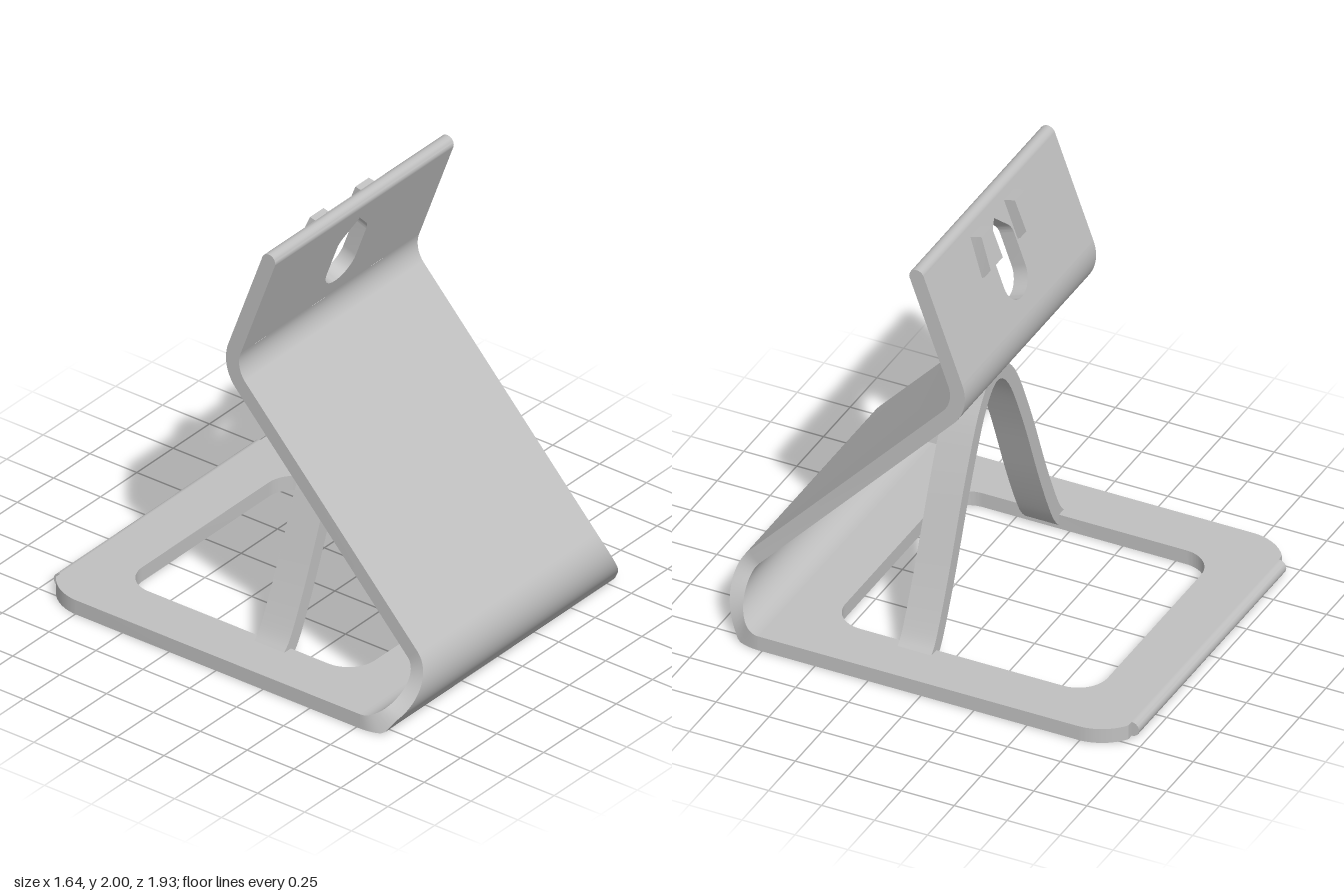
import * as THREE from 'three';
import { toCreasedNormals } from 'three/addons/utils/BufferGeometryUtils.js';

const T = 0.07, H = T / 2;                 // sheet thickness
const HALF = 0.615, BASE = 0.82;           // half widths of back rest and base
const RAD = Math.PI / 180;
const LEAN = Math.asin(0.345);             // forward lean of the upper panel

export function createModel() {
  const model = new THREE.Group();
  const grey = new THREE.MeshStandardMaterial({ color: 0xc0c0c0 });
  grey.name = 'light grey';

  const add = (name, geo, parent = model) => {
    const mesh = new THREE.Mesh(toCreasedNormals(geo, 0.5), grey);
    mesh.name = name;
    parent.add(mesh);
    return mesh;
  };
  const extrude = (shape, depth) =>
    new THREE.ExtrudeGeometry(shape, { depth, bevelEnabled: false, curveSegments: 16 });
  // half-round lip along x
  const lip = (halfWidth) =>
    new THREE.CylinderGeometry(H, H, halfWidth * 2, 20).rotateZ(Math.PI / 2);

  // Base plate, drawn in plan (shape y = -z), with rounded window
  const plan = new THREE.Shape();
  const cut = Math.asin(0.19 / 0.23);      // corner arcs stop at the rear lip
  plan.moveTo(-BASE, -0.77);
  plan.lineTo(BASE, -0.77);
  plan.lineTo(BASE, 0.74);
  plan.absarc(0.59, 0.74, 0.23, 0, cut, false);
  plan.absarc(-0.59, 0.74, 0.23, Math.PI - cut, Math.PI, false);
  plan.lineTo(-BASE, -0.77);
  const win = new THREE.Path();
  const wx = 0.575, r = 0.14, back = 0.69, front = -0.55;
  win.absarc(wx - r, back - r, r, 0, Math.PI / 2, false);
  win.absarc(-wx + r, back - r, r, Math.PI / 2, Math.PI, false);
  win.absarc(-wx + r, front + r, r, Math.PI, Math.PI * 1.5, false);
  win.absarc(wx - r, front + r, r, Math.PI * 1.5, Math.PI * 2, false);
  win.closePath();
  plan.holes.push(win);
  add('basePlate', extrude(plan, T).rotateX(-Math.PI / 2));
  add('baseRearLip', lip(0.69)).position.set(0, H, -0.93);

  // Back rest: front bend (flaring into the base), slope and upper bend
  const stations = [];                     // [front z, y], [rear z, y], half width
  for (let i = 0; i <= 24; i++) {
    const t = 133.1 * i / 24, a = (t - 90) * RAD;
    const c = Math.cos(a), s = Math.sin(a);
    const z = 0.77 + 0.2 * c;
    const y = t < 50 ? Math.max(0, (z - 0.873) * 1.44) : 0.2 + 0.2 * s;
    const w = HALF + (BASE - HALF) * (1 + Math.cos(Math.PI * i / 24)) / 2;
    stations.push([[z, y], [0.77 + 0.13 * c, 0.2 + 0.13 * s], w]);
  }
  for (let i = 0; i <= 14; i++) {
    const a = THREE.MathUtils.lerp(223.1, 159.8, i / 14) * RAD;
    const at = (rad) => [0.095 + rad * Math.cos(a), 1.41 + rad * Math.sin(a)];
    stations.push([at(0.13), at(0.2), HALF]);
  }
  const pos = [], idx = [];
  stations.forEach(([o, n, w], i) => {
    pos.push(-w, o[1], o[0], w, o[1], o[0], w, n[1], n[0], -w, n[1], n[0]);
    if (!i) return;
    for (let k = 0; k < 4; k++) {
      const a = (i - 1) * 4 + k, b = (i - 1) * 4 + (k + 1) % 4;
      idx.push(a, b, b + 4, a, b + 4, a + 4);
    }
  });
  const sheet = new THREE.BufferGeometry();
  sheet.setAttribute('position', new THREE.Float32BufferAttribute(pos, 3));
  sheet.setIndex(idx);
  add('backRest', sheet);

  // Upper panel with keyhole and rounded top edge
  const upper = new THREE.Group();
  upper.name = 'upperPanelGroup';
  upper.position.set(0, 1.467, -0.06);
  upper.rotation.x = LEAN;
  model.add(upper);
  const top = 0.53;
  const panel = new THREE.Shape();
  panel.moveTo(-HALF, 0);
  panel.lineTo(HALF, 0);
  panel.lineTo(HALF, top);
  panel.lineTo(-HALF, top);
  panel.closePath();
  const keyhole = new THREE.Path();
  keyhole.absarc(0, 0.18, 0.1, Math.PI, Math.PI * 2, false);
  keyhole.lineTo(0.1, 0.335);
  keyhole.quadraticCurveTo(0.1, 0.365, 0.075, 0.39);
  keyhole.lineTo(0, 0.463);
  keyhole.lineTo(-0.075, 0.39);
  keyhole.quadraticCurveTo(-0.1, 0.365, -0.1, 0.335);
  keyhole.closePath();
  panel.holes.push(keyhole);
  add('upperPanel', extrude(panel, T).translate(0, 0, -H), upper);
  add('topLip', lip(HALF), upper).position.y = top;

  // Two wedge pegs on the rear of the panel, outer sides tapering upwards
  const profile = [[0.08, 1.937], [0.024, 1.95], [-0.03, 1.81], [0, 1.766], [0.014, 1.76]];
  for (const side of [-1, 1]) {
    const shape = new THREE.Shape(profile.map(([z, y]) => new THREE.Vector2(-z, y)));
    const geo = extrude(shape, 0.115).rotateY(Math.PI / 2)
      .translate(side > 0 ? 0.11 : -0.225, 0, 0);
    const p = geo.attributes.position;
    for (let i = 0; i < p.count; i++) {
      if (Math.abs(p.getX(i)) > 0.2) {
        p.setX(i, side * (0.225 - Math.max(0, p.getY(i) - 1.8) * 0.15));
      }
    }
    add(side > 0 ? 'leftPeg' : 'rightPeg', geo);
  }

  // Bell-shaped support arch, its crown trimmed inside the sloping sheet
  const half = [[0.6, 0.04], [0.54, 0.12], [0.43, 0.36], [0.27, 0.76], [0.13, 1.04]];
  const bell = new THREE.SplineCurve([
    ...half.map(([x, y]) => new THREE.Vector2(-x, y)),
    new THREE.Vector2(0, 1.13),
    ...half.slice().reverse().map(([x, y]) => new THREE.Vector2(x, y)),
  ]);
  const outer = [], inner = [];
  for (let i = 0; i <= 60; i++) {
    const p = bell.getPoint(i / 60), t = bell.getTangent(i / 60);
    const n = new THREE.Vector2(-t.y, t.x).multiplyScalar(H);
    outer.push(p.clone().add(n));
    inner.unshift(p.clone().sub(n));
  }
  const arch = extrude(new THREE.Shape([...outer, ...inner]), 0.16).translate(0, 0, 0.05);
  const ap = arch.attributes.position;
  for (let i = 0; i < ap.count; i++) {
    const limit = 1.04 + (0.2 - ap.getZ(i)) * 1.069;
    ap.setY(i, Math.max(0.005, Math.min(ap.getY(i), limit)));
  }
  add('supportArch', arch);

  return model;
}
